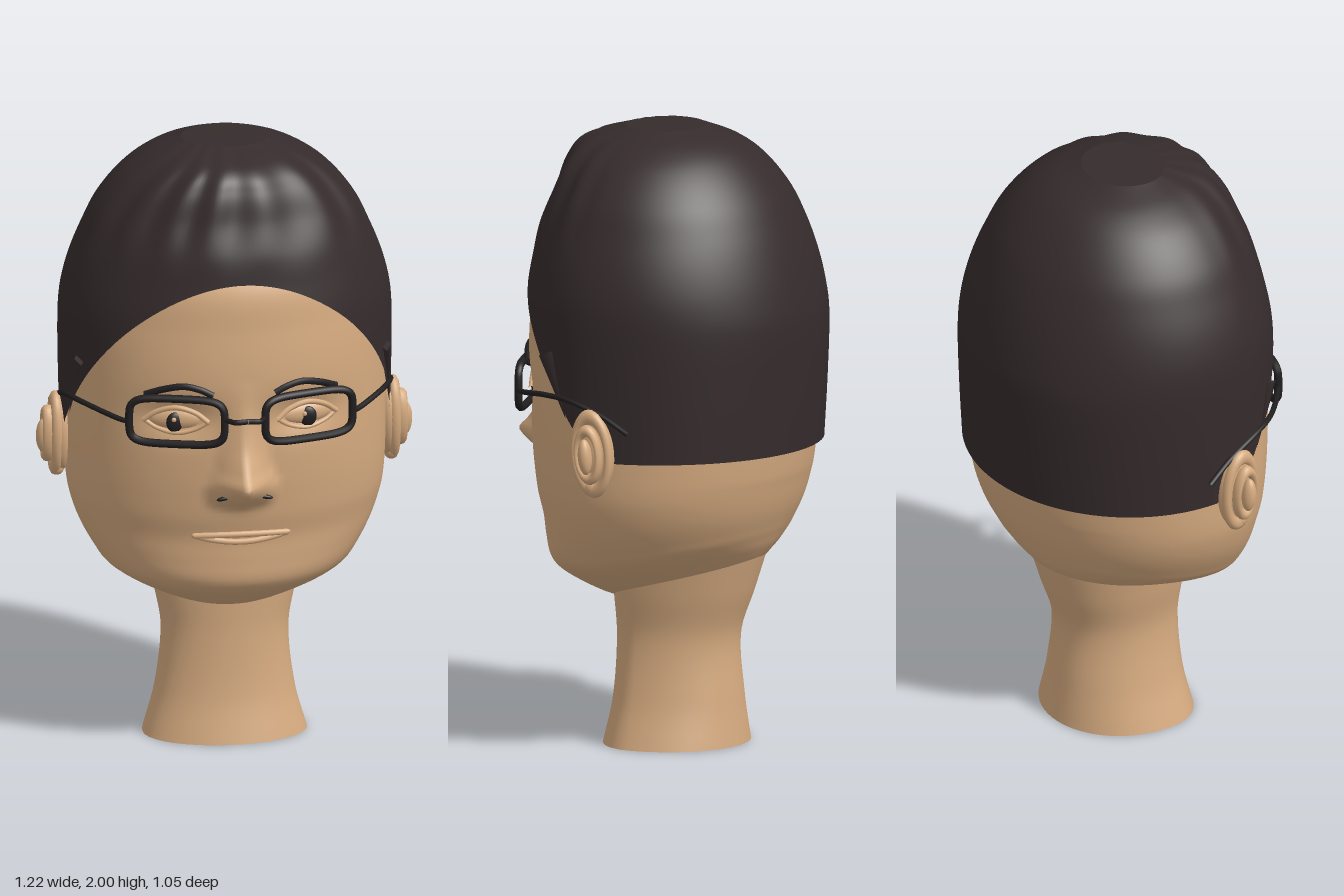
import * as THREE from 'three';

const mat = (name, color, side = THREE.FrontSide) => {
  const m = new THREE.MeshStandardMaterial({ color, side });
  m.name = name;
  return m;
};

// Smooth lookup in a profile table: rows start with the height
function look(tab, y, c) {
  const n = tab.length;
  if (y <= tab[0][0]) return tab[0][c];
  if (y >= tab[n - 1][0]) return tab[n - 1][c];
  let i = 0;
  while (tab[i + 1][0] < y) i++;
  const slope = (k) => {
    const p = tab[Math.max(0, k - 1)], q = tab[Math.min(n - 1, k + 1)];
    return (q[c] - p[c]) / (q[0] - p[0]);
  };
  const h = tab[i + 1][0] - tab[i][0], t = (y - tab[i][0]) / h, u = 1 - t;
  return (1 + 2 * t) * u * u * tab[i][c] + t * u * u * h * slope(i)
    + t * t * (3 - 2 * t) * tab[i + 1][c] - t * t * u * h * slope(i + 1);
}

// Surface from closed rings; point(angle, t) gives [x, y, z], t runs upwards
function loft(segs, rows, point) {
  const pos = [], idx = [];
  for (let i = 0; i <= rows; i++)
    for (let j = 0; j < segs; j++) pos.push(...point((j / segs) * Math.PI * 2, i / rows));
  for (let i = 0; i < rows; i++)
    for (let j = 0; j < segs; j++) {
      const k = (j + 1) % segs, a = i * segs + j, b = i * segs + k, c = a + segs, d = b + segs;
      idx.push(a, c, b, b, c, d);
    }
  const g = new THREE.BufferGeometry();
  g.setAttribute('position', new THREE.Float32BufferAttribute(pos, 3));
  g.setIndex(idx);
  g.computeVertexNormals();
  return g;
}

// Profiles: height, half width, front z, back z
const HEAD = [
  [0.485, 0.10, 0.10, -0.20], [0.505, 0.19, 0.15, -0.30], [0.55, 0.29, 0.21, -0.36], [0.62, 0.40, 0.31, -0.395],
  [0.66, 0.43, 0.345, -0.41], [0.72, 0.465, 0.352, -0.43], [0.78, 0.49, 0.355, -0.445], [0.85, 0.508, 0.375, -0.458],
  [0.95, 0.516, 0.39, -0.475], [1.1, 0.518, 0.40, -0.492], [1.3, 0.515, 0.41, -0.50], [1.45, 0.508, 0.40, -0.49],
  [1.6, 0.475, 0.38, -0.455], [1.75, 0.39, 0.29, -0.36], [1.85, 0.25, 0.20, -0.25]];
const HAIR = [
  [0.95, 0.527, 0.38, -0.505], [1.2, 0.535, 0.405, -0.52], [1.4, 0.537, 0.415, -0.525], [1.5, 0.53, 0.41, -0.51],
  [1.6, 0.505, 0.395, -0.485], [1.7, 0.465, 0.378, -0.45], [1.8, 0.415, 0.34, -0.40], [1.9, 0.33, 0.305, -0.32],
  [1.96, 0.24, 0.25, -0.24], [2, 0.14, 0.12, -0.13]];
const NECK = [
  [0, 0.265, 0.175, -0.28], [0.15, 0.225, 0.145, -0.265], [0.35, 0.205, 0.135, -0.255],
  [0.5, 0.23, 0.14, -0.305], [0.62, 0.25, 0.14, -0.345]];
const NOSE = [ // height, length, half width
  [0.83, 0, 0.08], [0.87, 0.012, 0.11], [0.905, 0.075, 0.12], [0.935, 0.115, 0.12], [0.965, 0.135, 0.11],
  [1.0, 0.10, 0.095], [1.08, 0.045, 0.08], [1.2, 0.012, 0.07], [1.3, 0, 0.06]];
const HAIRLINE = [[-0.09, 0.985], [-0.03, 1.01], [0.05, 1.08], [0.2, 1.31], [0.39, 1.62]]; // z, height

// Nose and eye sockets pushed out of or into the face
function relief(x, y) {
  const n = look(NOSE, y, 1) * Math.max(0, 1 - Math.abs(x) / look(NOSE, y, 2));
  const e = 0.03 * Math.exp(-(((Math.abs(x) - 0.2) / 0.11) ** 2) - ((y - 1.17) / 0.06) ** 2);
  return n - e;
}
const faceZ = (x, y) => look(HEAD, y, 2) * Math.sqrt(1 - (x / look(HEAD, y, 1)) ** 2) + relief(x, y);

const ring = (tab, y, a) => {
  const s = Math.sin(a);
  return [look(tab, y, 1) * Math.cos(a), y, s > 0 ? look(tab, y, 2) * s : -look(tab, y, 3) * s];
};

export function createModel() {
  const skin = mat('skin', 0xd6ab80);
  const skinOpen = mat('neck skin', 0xd6ab80, THREE.DoubleSide);
  const hairMat = mat('dark hair', 0x352b2c, THREE.DoubleSide);
  const black = mat('black', 0x211e1f);
  const model = new THREE.Group();
  const add = (name, geo, m, parent = model) => {
    const mesh = new THREE.Mesh(geo, m);
    mesh.name = name;
    parent.add(mesh);
    return mesh;
  };
  const tube = (name, pts, r, m, closed = false, n = 40) => {
    const curve = new THREE.CatmullRomCurve3(pts.map((p) => new THREE.Vector3(...p)), closed);
    return add(name, new THREE.TubeGeometry(curve, n, r, 8, closed), m);
  };
  const blob = (name, m, p, s, parent) => {
    const b = add(name, new THREE.SphereGeometry(1, 24, 16), m, parent);
    b.position.set(...p);
    b.scale.set(...s);
    return b;
  };
  const onFace = (pts, out) => pts.map(([x, y]) => [x, y, faceZ(x, y) + out]);

  // Head: rings tilt along the jaw and level out above it
  add('head', loft(180, 110, (a, t) => {
    const s = 0.485 + t * 1.365;
    const [x, , z] = ring(HEAD, s, a);
    const y = s - z * 0.25 * THREE.MathUtils.clamp((0.9 - s) / 0.35, 0, 1);
    return [x, y, z > 0 ? z + relief(x, y) : z];
  }), skin);
  add('neck', loft(64, 24, (a, t) => ring(NECK, t * 0.62, a)), skinOpen);

  // Hair: shell from the hairline to the crown with soft folds at the front
  add('hair', loft(160, 56, (a, t) => {
    const s = Math.sin(a), low = look(HAIRLINE, s * (s > 0 ? 0.39 : 0.52), 1);
    const y = low + (2 - low) * Math.sin(Math.min(1, t * 56 / 55) * Math.PI / 2);
    const k = t === 1 ? 0 : 1;
    const fold = THREE.MathUtils.smoothstep(y, 1.62, 1.85) * THREE.MathUtils.smoothstep(s, -0.1, 0.6);
    const f = k * (1 + 0.022 * fold * Math.sin(15 * a + 4 * y + 1.5 * Math.sin(3 * a)));
    const [x, , z] = ring(HAIR, y, a);
    return [x * f, y, z * f];
  }), hairMat);

  // Mouth
  const lip = (mid) => [-0.15, -0.1, -0.04, 0, 0.04, 0.1, 0.15].map((x) => [x, 0.768 + mid * (1 - (x / 0.15) ** 2)]);
  tube('upperLip', onFace(lip(0.004), 0.008), 0.010, skin);
  tube('lowerLip', onFace(lip(-0.022), 0.006), 0.010, skin);
  for (const x of [-0.15, 0.15]) blob('mouthCorner', skin, [x, 0.768, faceZ(x, 0.768) + 0.003], [0.011, 0.009, 0.011]);

  for (const s of [1, -1]) {
    // Eye with lids and pupil
    const ex = 0.212 * s, ez = faceZ(ex, 1.165);
    const ball = blob('eyeball', skin, [ex, 1.165, ez - 0.004], [0.09, 0.036, 0.022]);
    ball.rotation.y = 0.3 * s;
    blob('pupil', black, [ex + 0.004 * s, 1.157, ez + 0.012], [0.028, 0.033, 0.012]);
    blob('eyeGlint', skin, [ex - 0.008, 1.168, ez + 0.021], [0.008, 0.008, 0.005]);
    const lid = (h) => [-1, -0.6, 0, 0.6, 1].map((u) => [ex + u * 0.1, 1.162 + h * (1 - u * u)]);
    tube('upperLid', onFace(lid(0.046), 0.007), 0.009, skin);
    tube('lowerLid', onFace(lid(-0.04), 0.004), 0.007, skin);

    // Eyebrow
    const brow = [[0.1, 1.258], [0.14, 1.277], [0.19, 1.287], [0.25, 1.275], [0.31, 1.25]];
    tube('eyebrow', onFace(brow.map(([x, y]) => [x * s, y]), 0.006), 0.011, black);

    // Nostril
    const nostril = blob('nostril', black, [0.068 * s, 0.916, faceZ(0.068 * s, 0.916) + 0.002], [0.024, 0.007, 0.008]);
    nostril.rotation.z = -0.2 * s;

    // Glasses: rim, half bridge and temple arm
    const rim = [], pw = (v) => Math.sign(v) * Math.abs(v) ** 0.45;
    for (let i = 0; i < 32; i++) {
      const a = ((i + 0.5) / 32) * Math.PI * 2, x = 0.214 + 0.148 * pw(Math.cos(a));
      rim.push([x * s, 1.17 + 0.076 * pw(Math.sin(a)), 0.43 - 0.3 * (x - 0.06)]);
    }
    tube('glassesRim', rim, 0.013, black, true, 96);
    tube('glassesBridge', [[0.066, 1.18, 0.425], [0.055, 1.185, 0.45], [0.04, 1.19, 0.485], [0, 1.192, 0.487]]
      .map(([x, y, z]) => [x * s, y, z]), 0.009, black);
    tube('glassesArm', [[0.362, 1.165, 0.34], [0.38, 1.163, 0.32], [0.49, 1.183, 0.175], [0.525, 1.18, 0.08],
      [0.535, 1.14, -0.05], [0.542, 1.09, -0.15]].map(([x, y, z]) => [x * s, y, z]), 0.009, black);

    // Tuft of hair at the temple
    const tuft = add('templeTuft', new THREE.ConeGeometry(0.035, 0.22, 4), hairMat);
    tuft.position.set(0.507 * s, 1.22, 0.125);
    tuft.scale.x = 0.5;
    tuft.rotation.set(Math.PI + 0.35, 0, -0.1 * s);

    // Ear: outer rim, bowl and inner folds
    const ear = new THREE.Group();
    ear.name = 'ear';
    ear.position.set(0.53 * s, 1.018, -0.022);
    ear.rotation.x = 0.08;
    model.add(ear);
    blob('earBowl', skin, [0, 0, 0], [0.04, 0.13, 0.07], ear);
    const fold = (name, x, ry, rz, r) => {
      const f = add(name, new THREE.TorusGeometry(1, r, 10, 40), skin, ear);
      f.rotation.y = Math.PI / 2;
      f.scale.set(rz, ry, 0.08);
      f.position.x = x * s;
    };
    fold('earRim', 0.018, 0.118, 0.06, 0.22);
    fold('earInnerFold', 0.042, 0.078, 0.038, 0.25);
    blob('earCentre', skin, [0.055 * s, -0.005, 0.005], [0.025, 0.058, 0.022], ear);
    blob('earLobe', skin, [0.012 * s, -0.11, 0.012], [0.025, 0.03, 0.03], ear);
  }
  return model;
}
